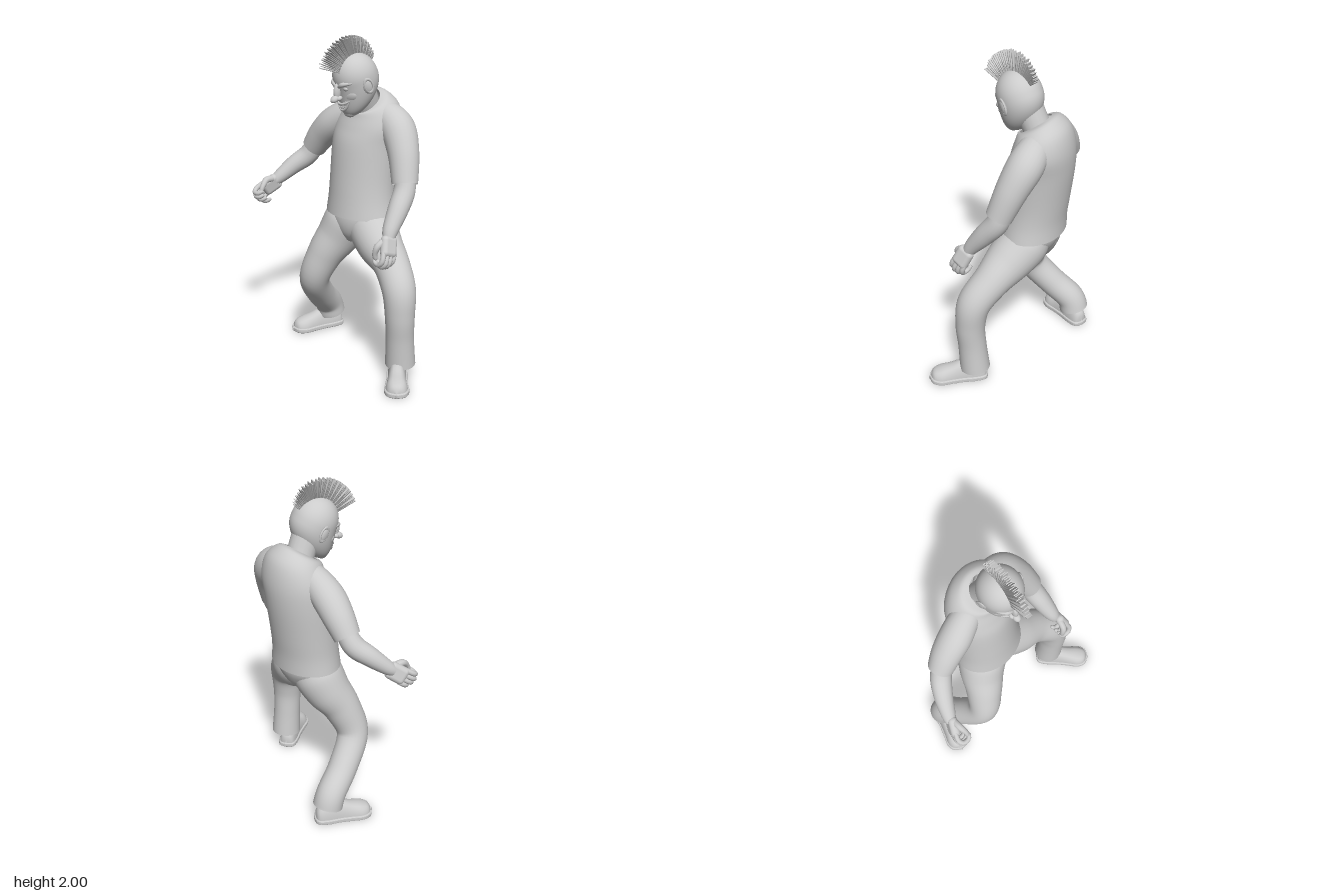
import * as THREE from 'three';
import { mergeVertices } from 'three/addons/utils/BufferGeometryUtils.js';
import { RoundedBoxGeometry } from 'three/addons/geometries/RoundedBoxGeometry.js';

const V = (x, y, z) => new THREE.Vector3(x, y, z);
const grey = new THREE.MeshStandardMaterial({ color: 0xcccccc, side: THREE.DoubleSide });

function add(parent, name, geometry, pos = [0, 0, 0], rot = [0, 0, 0], scale = [1, 1, 1]) {
  const m = new THREE.Mesh(geometry, grey);
  m.name = name;
  m.position.set(...pos);
  m.rotation.set(...rot);
  m.scale.set(...scale);
  parent.add(m);
}

// Smooth interpolation through rows of numbers, t in 0..1
function sample(rows, t) {
  const n = rows.length - 1, k = Math.min(Math.floor(t * n), n - 1), f = t * n - k;
  const r = i => rows[Math.max(0, Math.min(n, i))];
  return rows[0].map((_, c) => {
    const a = r(k - 1)[c], b = r(k)[c], d = r(k + 1)[c], e = r(k + 2)[c];
    return b + 0.5 * f * (d - a + f * (2 * a - 5 * b + 4 * d - e + f * (3 * (b - d) + e - a)));
  });
}

// Closed-round skin: at(row, angle) gives each point
function skin(rows, cols, at) {
  const p = [], idx = [];
  for (let i = 0; i <= rows; i++) {
    for (let j = 0; j < cols; j++) p.push(...at(i, j / cols * Math.PI * 2).toArray());
  }
  for (let i = 0; i < rows; i++) for (let j = 0; j < cols; j++) {
    const a = i * cols + j, b = i * cols + (j + 1) % cols;
    idx.push(a, b, a + cols, b, b + cols, a + cols);
  }
  const g = new THREE.BufferGeometry();
  g.setAttribute('position', new THREE.Float32BufferAttribute(p, 3));
  g.setIndex(idx);
  g.computeVertexNormals();
  return g;
}

// Tube of varying radius through rows of [x, y, z, radius]
function limb(rows, steps = 28, cols = 20) {
  const s = [];
  for (let i = 0; i <= steps; i++) s.push(sample(rows, i / steps));
  const c = s.map(r => V(r[0], r[1], r[2]));
  let n = V(0.3, 0.2, 0.93);
  const frames = c.map((_, i) => {
    const t = c[Math.min(i + 1, steps)].clone().sub(c[Math.max(i - 1, 0)]).normalize();
    n = n.clone().addScaledVector(t, -n.dot(t)).normalize();
    return [n, t.clone().cross(n)];
  });
  return skin(steps, cols, (i, a) => c[i].clone()
    .addScaledVector(frames[i][0], s[i][3] * Math.cos(a))
    .addScaledVector(frames[i][1], s[i][3] * Math.sin(a)));
}

// Trunk sections, top down: [y, cx, cz, halfWidth, halfDepth, tilt], turned 45 degrees
const trunk = rows => skin(32, 36, (i, a) => {
  const [y, cx, cz, w, d, tilt] = sample(rows, i / 32), h = Math.SQRT1_2;
  const u = w * Math.cos(a), v = d * Math.sin(a);
  return V(cx + h * (u - v), y - tilt * Math.sin(a), cz + h * (u + v));
});

function makeShoe(name, x, z, yaw) {
  const g = new THREE.Group();
  g.name = name;
  // section: [z, halfWidth, height]
  const rows = [[-0.168, 0.004, 0.03], [-0.155, 0.042, 0.08], [-0.1, 0.054, 0.115], [-0.02, 0.054, 0.115],
    [0.05, 0.06, 0.09], [0.11, 0.066, 0.075], [0.155, 0.047, 0.055], [0.172, 0.004, 0.02]];
  add(g, 'shoeUpper', skin(24, 24, (i, a) => {
    const [fz, w, h] = sample(rows, i / 24), c = Math.cos(a);
    return V(w * Math.sign(c) * Math.abs(c) ** 0.75, 0.02 + h * Math.max(Math.sin(a), -0.05), fz);
  }));
  const right = rows.map(r => new THREE.Vector2(r[1], r[0]));
  const left = right.map(p => new THREE.Vector2(-p.x, p.y)).reverse();
  const sole = new THREE.ExtrudeGeometry(new THREE.Shape(new THREE.SplineCurve([...right, ...left]).getPoints(60)),
    { depth: 0.014, bevelThickness: 0.008, bevelSize: 0.008, bevelSegments: 3 });
  add(g, 'shoeSole', sole, [0, 0.03, 0], [Math.PI / 2, 0, 0]);
  g.position.set(x, 0, z);
  g.rotation.y = yaw;
  return g;
}

// Hand: fingers run along dir, curling toward palm; thumb on side +1 or -1 of local x
function makeHand(name, wrist, dir, palm, side) {
  const g = new THREE.Group();
  g.name = name;
  const y = V(...dir).normalize(), z = V(...palm);
  z.addScaledVector(y, -z.dot(y)).normalize();
  g.quaternion.setFromRotationMatrix(new THREE.Matrix4().makeBasis(y.clone().cross(z), y, z));
  g.position.set(...wrist);
  g.scale.setScalar(1.12);
  add(g, 'palm', new RoundedBoxGeometry(0.094, 0.11, 0.05, 4, 0.024), [0, 0.045, 0]);
  for (let i = 0; i < 4; i++) {
    const x = side * (0.035 - i * 0.0235), l = [0, 0.008, 0.004, -0.01][i];
    add(g, 'finger', limb([[x, 0.075, -0.004, 0.013], [x, 0.12 + l, 0, 0.014], [x, 0.142 + l, 0.025, 0.013],
      [x, 0.13 + l, 0.055, 0.012], [x, 0.105 + l, 0.062, 0.01], [x, 0.1 + l, 0.062, 0.001]], 14, 10));
  }
  add(g, 'thumb', limb([[side * 0.03, 0.02, 0.008, 0.018], [side * 0.055, 0.05, 0.022, 0.018],
    [side * 0.05, 0.085, 0.045, 0.014], [side * 0.035, 0.11, 0.055, 0.011], [side * 0.032, 0.114, 0.056, 0.001]], 14, 10));
  return g;
}

function makeHead() {
  const g = new THREE.Group();
  g.name = 'head';
  // Skull and jaw: a ball whose lower half is stretched down and forward
  let skull = new THREE.SphereGeometry(1, 48, 36);
  skull.deleteAttribute('uv');
  skull.deleteAttribute('normal');
  skull = mergeVertices(skull);
  const p = skull.attributes.position;
  for (let i = 0; i < p.count; i++) {
    const x = p.getX(i), y = p.getY(i), z = p.getZ(i), t = Math.max(0, -y);
    p.setXYZ(i, x * 0.126 * (1 + 0.04 * t), y * (y > 0 ? 0.143 : 0.2), z * 0.134 * (1 + 0.2 * t) + 0.095 * t * t);
  }
  skull.computeVertexNormals();
  add(g, 'skull', skull);
  const ball = new THREE.SphereGeometry(1, 20, 14);
  add(g, 'noseBridge', ball, [0, -0.014, 0.145], [-0.45, 0, 0], [0.017, 0.05, 0.025]);
  add(g, 'noseTip', ball, [0, -0.044, 0.178], [0, 0, 0], [0.022, 0.02, 0.03]);
  for (const s of [1, -1]) {
    add(g, 'nostril', ball, [s * 0.018, -0.048, 0.158], [0, 0, 0], [0.014, 0.013, 0.018]);
    add(g, 'eye', ball, [s * 0.047, -0.004, 0.116], [0, 0, 0], [0.021, 0.014, 0.013]);
    add(g, 'brow', limb([[s * 0.008, 0.01, 0.134, 0.008], [s * 0.045, 0.026, 0.122, 0.014],
      [s * 0.09, 0.02, 0.088, 0.005]], 12, 10));
    add(g, 'cheek', ball, [s * 0.055, -0.06, 0.108], [0, s * 0.5, s * 0.4], [0.046, 0.036, 0.02]);
    add(g, 'ear', ball, [s * 0.122, -0.032, 0.02], [0, s * -0.3, 0], [0.014, 0.046, 0.028]);
    add(g, 'earRim', new THREE.TorusGeometry(0.024, 0.006, 8, 20), [s * 0.13, -0.03, 0.014],
      [0, Math.PI / 2 - s * 0.3, 0], [1, 1.7, 1]);
  }
  // Grinning mouth with two rows of teeth
  const lip = (y, dip, r) => limb([[-0.06, -0.08, 0.128, 0.004], [-0.03, y - dip * 0.6, 0.15, r], [0, y - dip, 0.159, r],
    [0.03, y - dip * 0.6, 0.15, r], [0.06, -0.08, 0.128, 0.004]], 20, 10);
  add(g, 'upperLip', lip(-0.085, 0.004, 0.007));
  add(g, 'lowerLip', lip(-0.1, 0.032, 0.008));
  for (let i = -3; i <= 3; i++) for (const y of [-0.097, -0.118]) {
    add(g, 'tooth', new RoundedBoxGeometry(0.011, 0.016, 0.008, 2, 0.003),
      [i * 0.012, y + i * i * 0.0014, 0.157 - i * i * 0.0019], [0, i * 0.12, 0]);
  }
  add(g, 'chin', ball, [0, -0.17, 0.118], [0, 0, 0], [0.045, 0.03, 0.036]);
  // Crest of thin upright blades fanned from brow to nape
  const crest = new THREE.Group();
  crest.name = 'crest';
  const blade = new THREE.CylinderGeometry(0.75, 1.3, 1, 4).rotateY(Math.PI / 4).translate(0, 0.5, 0);
  const count = 46;
  for (let i = 0; i < count; i++) {
    const t = i / (count - 1), a = 0.84 - t * 2.1;
    const tip = sample([[0.255], [0.253], [0.243], [0.215], [0.17]], t)[0] - (i % 2) * 0.01;
    add(crest, 'crestBlade', blade, [0, 0.122 * Math.cos(a), 0.122 * Math.sin(a)],
      [a, 0, (i % 3 - 1) * 0.05], [0.031, tip - 0.122, 0.0045]);
  }
  g.add(crest);
  g.rotation.order = 'YXZ';
  g.rotation.set(0.44, -1.044, 0);
  g.position.set(0.12, 1.765, -0.05);
  return g;
}

export function createModel() {
  const model = new THREE.Group();
  model.name = 'stridingMan';

  // Shirt
  add(model, 'shirtBody', trunk([[1.605, 0.185, -0.125, 0.09, 0.085, 0.06], [1.605, 0.195, -0.14, 0.14, 0.11, 0.06],
    [1.56, 0.218, -0.157, 0.185, 0.145, 0.045], [1.47, 0.218, -0.163, 0.215, 0.17, 0.02], [1.35, 0.198, -0.163, 0.212, 0.182, 0],
    [1.15, 0.18, -0.15, 0.208, 0.18, 0], [1.02, 0.172, -0.138, 0.213, 0.178, 0], [0.92, 0.17, -0.13, 0.228, 0.182, 0]]));
  add(model, 'leftSleeve', limb([[0.24, 1.53, -0.13, 0.07], [0.31, 1.52, -0.08, 0.09], [0.367, 1.455, -0.01, 0.103],
    [0.39, 1.33, 0.072, 0.092], [0.39, 1.17, 0.145, 0.077]], 36, 24));
  add(model, 'rightSleeve', limb([[0.17, 1.52, -0.19, 0.07], [0.1, 1.5, -0.245, 0.084], [0.02, 1.43, -0.31, 0.095],
    [-0.042, 1.345, -0.372, 0.089], [-0.095, 1.25, -0.42, 0.075]], 36, 24));

  // Arms and hands
  add(model, 'leftArm', limb([[0.395, 1.27, 0.105, 0.055], [0.39, 1.14, 0.148, 0.064], [0.345, 1.04, 0.208, 0.061],
    [0.295, 0.94, 0.268, 0.047], [0.28, 0.89, 0.295, 0.034]]));
  add(model, 'rightArm', limb([[-0.07, 1.3, -0.4, 0.055], [-0.13, 1.2, -0.425, 0.062], [-0.22, 1.135, -0.425, 0.056],
    [-0.31, 1.065, -0.41, 0.043], [-0.35, 1.035, -0.4, 0.032]]));
  model.add(makeHand('leftHand', [0.282, 0.903, 0.303], [-0.1, -0.9, 0.45], [-0.5, 0, -0.85], -1));
  model.add(makeHand('rightHand', [-0.328, 1.045, -0.4], [-0.83, -0.55, 0.14], [0.05, -0.3, 0.9], 1));

  // Trousers
  add(model, 'trouserSeat', trunk([[0.98, 0.172, -0.13, 0.2, 0.16, 0], [0.9, 0.168, -0.125, 0.2, 0.163, 0],
    [0.84, 0.163, -0.12, 0.165, 0.15, 0], [0.79, 0.155, -0.12, 0.11, 0.125, 0], [0.75, 0.15, -0.12, 0.06, 0.085, 0],
    [0.74, 0.15, -0.12, 0.002, 0.002, 0]]));
  add(model, 'leftTrouserLeg', limb([[0.21, 0.93, -0.1, 0.125], [0.228, 0.85, -0.05, 0.147], [0.265, 0.765, 0.055, 0.136],
    [0.318, 0.685, 0.17, 0.109], [0.348, 0.57, 0.282, 0.1], [0.353, 0.42, 0.31, 0.088], [0.357, 0.27, 0.302, 0.084],
    [0.365, 0.1, 0.29, 0.09]], 44, 28));
  add(model, 'rightTrouserLeg', limb([[0.13, 0.93, -0.165, 0.125], [0.095, 0.85, -0.175, 0.146], [0.038, 0.75, -0.185, 0.135],
    [-0.045, 0.63, -0.185, 0.112], [-0.112, 0.46, -0.207, 0.094], [-0.066, 0.3, -0.332, 0.088], [-0.008, 0.19, -0.44, 0.088],
    [0.012, 0.11, -0.465, 0.09]], 44, 28));

  // Shoes
  model.add(makeShoe('leftShoe', 0.333, 0.382, Math.atan2(-0.15, 0.99)));
  model.add(makeShoe('rightShoe', -0.075, -0.438, Math.atan2(-0.93, 0.35)));

  // Neck and head
  add(model, 'neck', limb([[0.205, 1.53, -0.15, 0.08], [0.185, 1.61, -0.12, 0.08], [0.15, 1.72, -0.08, 0.085]]));
  model.add(makeHead());
  return model;
}
